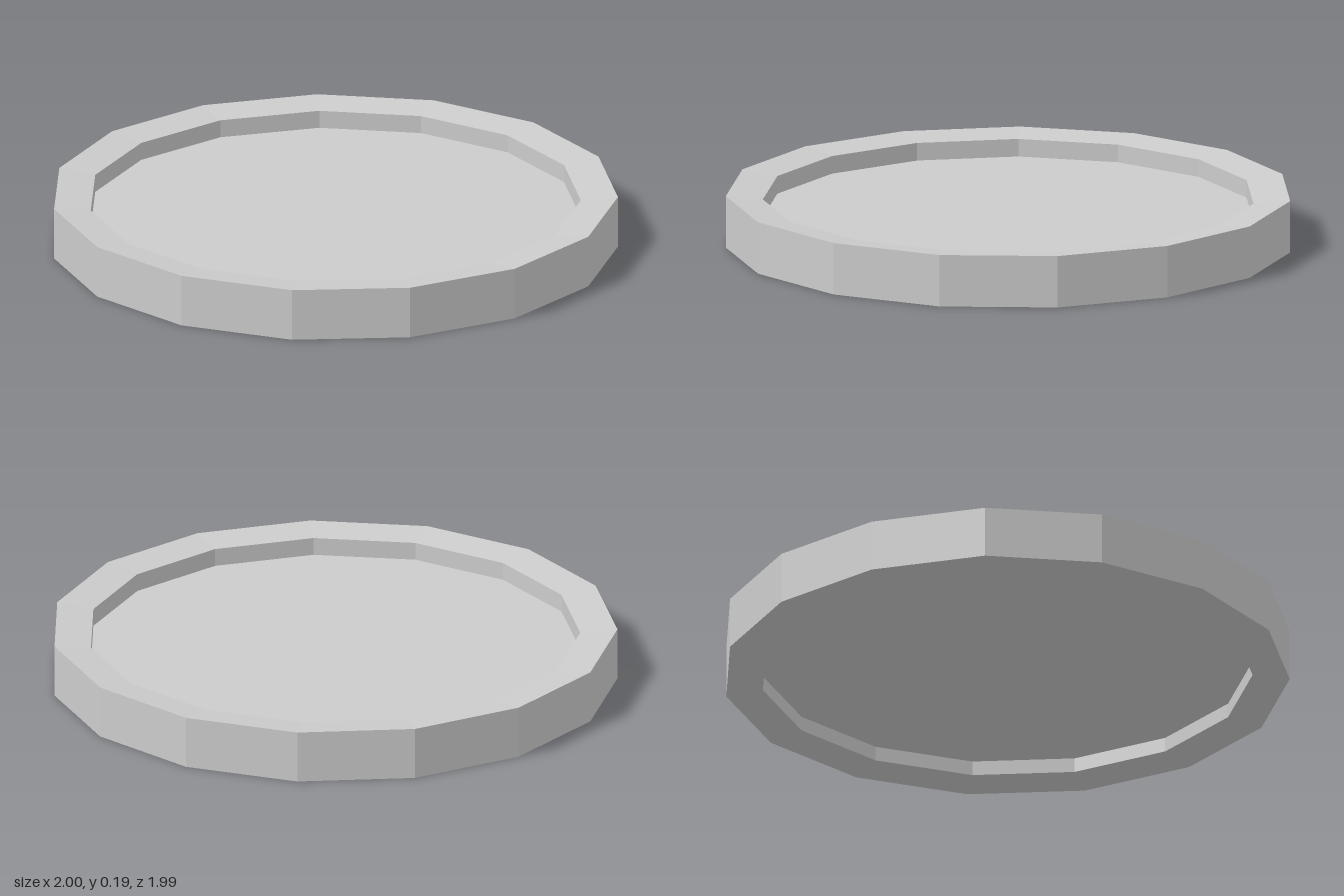
import * as THREE from 'three';

const SIDES = 15;
const OUTER = 1.0055, INNER = 0.874, HEIGHT = 0.187;

// Spins a profile of [radius, y] points into a faceted ring with one corner at the back
function spin(name, profile, material) {
  const points = profile.map(([r, y]) => new THREE.Vector2(r, y));
  const mesh = new THREE.Mesh(new THREE.LatheGeometry(points, SIDES, Math.PI), material);
  mesh.name = name;
  return mesh;
}

export function createModel() {
  const model = new THREE.Group();
  model.name = 'shallowTray';
  const material = new THREE.MeshStandardMaterial({ color: 0xcccccc, flatShading: true });

  // Rim: its top and underside slope slightly towards the recesses
  model.add(spin('rim', [
    [INNER, 0.067], [INNER, 0.014], [OUTER, 0],
    [OUTER, HEIGHT], [INNER, 0.173], [INNER, 0.109],
  ], material));

  // Thin floor, recessed from above and below
  model.add(spin('floorTop', [[INNER, 0.109], [0, 0.109]], material));
  model.add(spin('floorUnderside', [[0, 0.067], [INNER, 0.067]], material));

  // An odd number of sides reaches further back than front, so shift to centre
  const shift = OUTER * (1 - Math.cos(Math.PI / SIDES)) / 2;
  model.children.forEach((part) => { part.position.z = shift; });
  return model;
}
